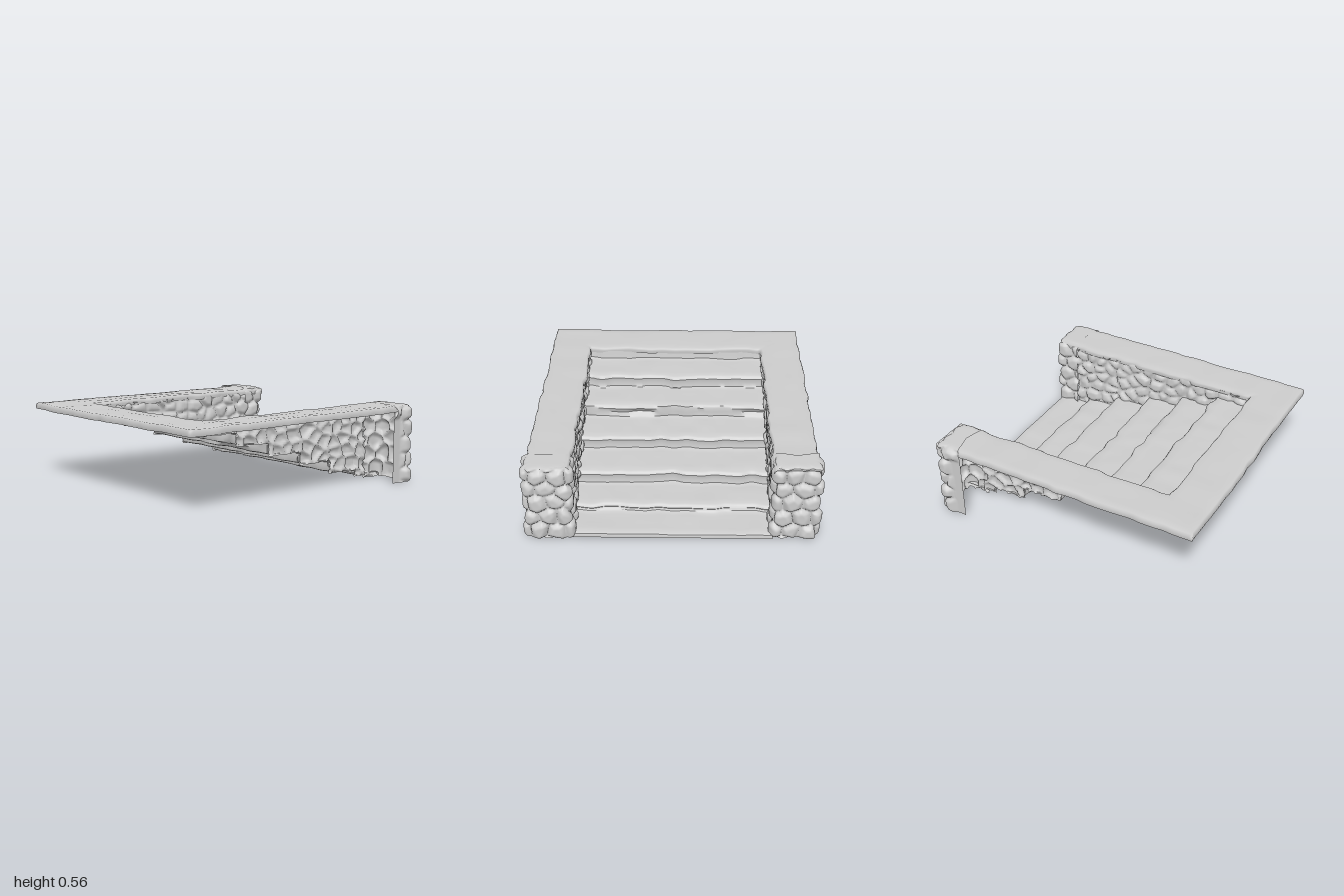
import * as THREE from 'three';
import { toCreasedNormals } from 'three/addons/utils/BufferGeometryUtils.js';

const material = new THREE.MeshStandardMaterial({ color: 0xcccccc, side: THREE.DoubleSide });
const { clamp, lerp, smoothstep } = THREE.MathUtils;

// Stair layout: riser positions and the tread height that follows each riser
const risers = [-0.675, -0.395, -0.125, 0.15, 0.445, 0.705];
const treads = [0.44, 0.35, 0.26, 0.17, 0.08, 0.03];
const END = 0.955;

const hash = (a, b) => {
  const s = Math.sin(a * 127.1 + b * 311.7) * 43758.5453;
  return s - Math.floor(s);
};

// Smooth value noise, -1..1
function noise(x, y) {
  const i = Math.floor(x), j = Math.floor(y);
  const u = smoothstep(x - i, 0, 1), v = smoothstep(y - j, 0, 1);
  return 2 * lerp(lerp(hash(i, j), hash(i + 1, j), u), lerp(hash(i, j + 1), hash(i + 1, j + 1), u), v) - 1;
}

// Height 0..1 of rounded stones laid in staggered, jittered courses
function stones(s, y, w, h, jitter) {
  const p = s / w, q = y / h;
  let near = 9, next = 9, id = 0;
  for (let j = Math.floor(q) - 2; j <= Math.floor(q) + 2; j++) {
    for (let i = Math.floor(p) - 2; i <= Math.floor(p) + 2; i++) {
      const cx = i + 0.5 + (j & 1) * 0.5 + (hash(i, j) - 0.5) * jitter;
      const cy = j + 0.5 + (hash(j + 7, i + 3) - 0.5) * jitter;
      const d = Math.hypot(p - cx, q - cy);
      if (d < near) { next = near; near = d; id = hash(i + 11, j + 5); }
      else if (d < next) next = d;
    }
  }
  return Math.sqrt(smoothstep(next - near, 0, 0.6)) * (0.65 + 0.35 * id);
}

// Grid surface from a rule point(u, v) with u, v in 0..1
function sheet(nu, nv, point) {
  const pos = [], index = [];
  for (let i = 0; i <= nu; i++) {
    for (let j = 0; j <= nv; j++) {
      pos.push(...point(i / nu, j / nv));
      if (i < nu && j < nv) {
        const a = i * (nv + 1) + j, b = a + nv + 1;
        index.push(a, b, a + 1, b, b + 1, a + 1);
      }
    }
  }
  const g = new THREE.BufferGeometry();
  g.setAttribute('position', new THREE.Float32BufferAttribute(pos, 3));
  g.setIndex(index);
  g.computeVertexNormals();
  return g;
}

// Point on a polyline at t in 0..1, equal share per segment
function along(points, t) {
  const f = t * (points.length - 1), i = Math.min(Math.floor(f), points.length - 2);
  return points[i].map((c, k) => lerp(c, points[i + 1][k], f - i));
}

function mesh(name, geometry) {
  const m = new THREE.Mesh(geometry, material);
  m.name = name;
  return m;
}

// U-shaped slab with lips turned down at its outer and inner edges
function coping() {
  const outer = [[0.95, 0.94], [-0.975, 0.94], [-0.975, -0.94], [0.95, -0.94]];
  const inner = [[0.95, 0.65], [-0.67, 0.65], [-0.67, -0.65], [0.95, -0.65]];
  const section = [[0, -0.045], [-0.01, -0.03], [0, -0.01], [0.03, 0], [0.2, 0.002], [0.4, 0],
    [0.6, 0.002], [0.8, 0], [0.96, 0], [1, -0.01], [1.01, -0.025], [1, -0.045]];
  return sheet(240, section.length - 1, (u, v) => {
    const [t, drop] = along(section, v);
    const a = along(outer, u), b = along(inner, u);
    const rough = t > 0.5 ? 0.01 : 0.008;
    const x = lerp(a[0], b[0], t), z = lerp(a[1], b[1], t);
    const y = 0.53 + 0.009 * (x + 1) + drop + 0.004 * noise(x * 6, z * 6);
    return [x + rough * noise(z * 11, t * 3), y, z + rough * noise(x * 13 + 40, t * 3)];
  });
}

// Continuous run of worn treads and risers
function stairs() {
  const profile = [[-0.68, 0.5], [-0.675, 0.47]];
  risers.forEach((x, i) => {
    const y = treads[i], end = i < 5 ? risers[i + 1] : END;
    profile.push([x + 0.005, y + 0.006], [x + 0.02, y]);
    for (let k = 1; k < 5; k++) profile.push([lerp(x, end - 0.02, k / 5), y]);
    profile.push([end - 0.02, y], [end - 0.006, y - 0.007]);
    if (i < 5) profile.push([end + 0.004, y - 0.022], [end - 0.002, lerp(y, treads[i + 1], 0.6)]);
  });
  profile.push([END, 0.005], [END, 0]);
  return toCreasedNormals(sheet(90, profile.length - 1, (u, v) => {
    const z = lerp(-0.66, 0.66, u), [x, y] = along(profile, v);
    const edge = Math.min(...risers.map((r) => Math.abs(x - r)));
    const wear = 0.014 * (1 - smoothstep(edge, 0.02, 0.1));
    const lift = y > 0.01 ? 0.004 * noise(x * 9, z * 9) : 0;
    return [x + wear * noise(z * 11, Math.round(x * 4)), y + lift, z];
  }), 0.7);
}

// Rubble wall above each tread; side is +1 or -1 along z
function wall(side) {
  const g = new THREE.Group();
  treads.forEach((y0, i) => {
    const x0 = risers[i], x1 = i < 5 ? risers[i + 1] : 0.8;
    const nx = Math.ceil((x1 - x0) / 0.0125), ny = Math.ceil((0.52 - y0) / 0.0125);
    g.add(mesh('wallSection', sheet(nx, ny, (u, v) => {
      const x = lerp(x0, x1, u), y = lerp(y0 - 0.01, 0.515, v);
      return [x, y, side * (0.672 - 0.035 * stones(x + side * 5, y, 0.105, 0.085, 0.75))];
    })));
  });
  g.name = side > 0 ? 'leftWall' : 'rightWall';
  return g;
}

// Hollow pillar of bulging blocks, open towards the back of the stairs
function pillar(side) {
  const plan = [[0.78, 0.66], [0.95, 0.66], [0.95, 0.8], [0.95, 0.945], [0.78, 0.945]];
  const shift = side > 0 ? 0.01 : -0.015;
  const top = side > 0 ? 0.545 : 0.555;
  const BODY = 0.85; // share of v used by the sides; the rest closes the top
  const g = sheet(96, 64, (u, v) => {
    const [px, pz] = along(plan, u);
    const cx = Math.min(px, 0.91), cz = clamp(pz, 0.7, 0.905);
    const len = Math.hypot(px - cx, pz - cz) || 1;
    const y = Math.min(v / BODY, 1) * top;
    // Blocks fade to a plain strip at the rear of the outer face
    const plain = u > 0.75 ? smoothstep(px, 0.84, 0.9) + smoothstep(y, 0.44, 0.5) : 1;
    const bulge = 0.04 * Math.min(plain, 1) * stones(u * 0.8 + side * 3, y, 0.17, 0.108, 0.4);
    const r = 0.035 + bulge * (1 - 0.6 * smoothstep(y, top - 0.02, top));
    let x = cx + (px - cx) / len * r + shift, z = cz + (pz - cz) / len * r;
    const close = clamp((v - BODY) / (1 - BODY), 0, 1);
    x = lerp(x, 0.8, close);
    z = lerp(z, 0.8, close);
    return [x, y + 0.006 * Math.sin(Math.min(close * 4, 1) * Math.PI / 2), z * side];
  });
  return mesh(side > 0 ? 'leftPillar' : 'rightPillar', g);
}

export function createModel() {
  const model = new THREE.Group();
  model.name = 'stoneStairwell';
  model.add(mesh('coping', coping()), mesh('stairs', stairs()));
  for (const side of [1, -1]) model.add(wall(side), pillar(side));
  return model;
}
